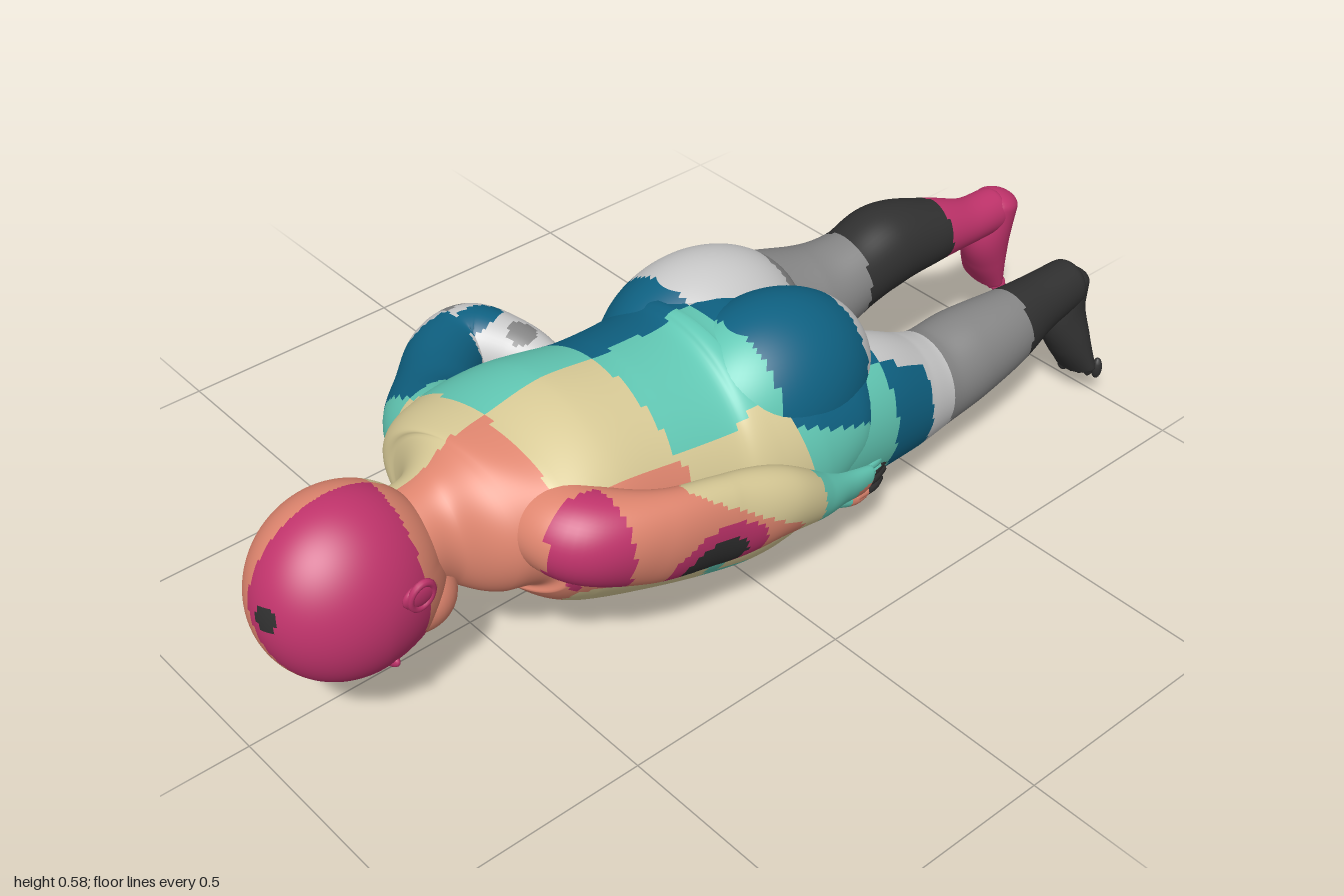
import * as THREE from 'three';

const palette = [
  ['magenta', 0xc0336b], ['coral', 0xe0866f], ['sand', 0xd9cb97], ['teal', 0x62c9b5],
  ['deepBlue', 0x0f6283], ['lightGrey', 0xcacaca], ['midGrey', 0x858585], ['charcoal', 0x303030],
];
const materials = palette.map(([name, color]) => {
  const m = new THREE.MeshStandardMaterial({ color });
  m.name = name;
  return m;
});
const V = (x, y, z) => new THREE.Vector3(x, y, z);

// Patchwork: the colour advances one step per cell along -x and along -z
function cell(x, z, minX = -9, maxX = 9) {
  const kx = THREE.MathUtils.clamp(Math.floor((0.3 - x) / 0.23), minX, maxX);
  return kx + Math.floor((0.98 - z) / 0.247);
}
const rules = {
  trunk: p => {
    const slope = THREE.MathUtils.mapLinear(THREE.MathUtils.clamp(p.z, 0.2, 0.4), 0.2, 0.4, 0.22, 0.06);
    const z = p.z + slope * Math.max(0, 0.5 - p.y);
    let x = p.x;
    if (p.z > 0.12) x -= 0.3 * Math.max(0, 0.3 - p.y);
    if (x < 0 && p.z < 0 && p.y < 0.4) x -= 0.07;
    const hip = p.z < -0.02 && p.y > 0.42 + 0.4 * p.z;
    return cell(x, z, hip ? 0 : -9);
  },
  head: p => {
    if (p.z > 0.9 && Math.hypot(p.x - 0.122, p.y - 0.39) < 0.024) return 7;
    if (p.z > 0.9 && Math.hypot(p.x - 0.115, p.y - 0.397) < 0.035) return 0;
    return cell(p.x - 0.5 * Math.max(0, 0.4 - p.y), Math.min(p.z, 0.97), 0, 1);
  },
  rightLeg: p => cell(p.x - 0.025, p.z, 1, 9),
  leftButtock: p => cell(p.x, p.z, 0, 0),
  leftLeg: p => cell(p.x, p.z + (p.z > -0.35 ? 0.04 : 0), p.z > -0.42 ? -1 : 0, 0),
  leftArm: p => {
    const d = Math.hypot((p.y - 0.28) / 0.75, p.z - 0.235);
    if (p.x > 0.33 && d < 0.068) return 7;
    if (p.x > 0.33 && d < 0.11) return 0;
    if (p.z > 0.42) return p.x > 0.3 && p.z < 0.545 && p.y < 0.485 ? 0 : 1;
    if (p.z > 0.08 + 1.4 * (p.y - 0.3)) return p.z > 0.03 ? 1 : 2;
    if (p.z > -0.03) return 2;
    if (p.y > 0.205 || p.z > -0.165) return 3;
    return p.z > -0.22 ? 1 : 7;
  },
  rightArm: p => {
    if (p.y > 0.36 && Math.hypot((p.x + 0.335) / 0.55, p.z - 0.2) < 0.055) return 4;
    if (p.y > 0.34 && Math.hypot(p.x + 0.25, p.z - 0.155) < 0.03) return 6;
    return cell(p.x, p.z);
  },
};

// Sorts the quads (triangle pairs) of a geometry into one group per colour
function paint(geo, name, rule) {
  const pos = geo.attributes.position, idx = geo.index.array;
  const bins = palette.map(() => []);
  const centre = V(), corner = V();
  for (let i = 0; i < idx.length; i += 6) {
    const quad = Array.from(idx.slice(i, i + 6));
    centre.set(0, 0, 0);
    quad.forEach(k => centre.add(corner.fromBufferAttribute(pos, k)));
    centre.divideScalar(quad.length);
    bins[((rule(centre) % 8) + 8) % 8].push(...quad);
  }
  geo.clearGroups();
  let start = 0;
  bins.forEach((bin, k) => {
    if (bin.length) geo.addGroup(start, bin.length, k);
    start += bin.length;
  });
  geo.setIndex(bins.flat());
  const mesh = new THREE.Mesh(geo, materials);
  mesh.name = name;
  return mesh;
}

// Smooth limb through stations [x, y, z, radius along ref, other radius], with domed ends
function loft(stations, ref = V(1, 0, 0), rings = 60, sides = 48, dome = 0.6) {
  const path = new THREE.CatmullRomCurve3(stations.map(s => V(s[0], s[1], s[2])), false, 'catmullrom');
  const size = new THREE.CatmullRomCurve3(stations.map(s => V(s[3], s[4] ?? s[3], 0)), false, 'catmullrom');
  const pts = [], index = [], caps = 8;
  const total = rings + 2 * caps;
  for (let i = 0; i <= total; i++) {
    const u = THREE.MathUtils.clamp((i - caps) / rings, 0, 1);
    const over = i < caps ? i - caps : Math.max(0, i - caps - rings);
    const ang = (over / caps) * Math.PI / 2 * 0.995;
    const t = path.getTangent(u), r = size.getPoint(u);
    const s = ref.clone().addScaledVector(t, -ref.dot(t)).normalize();
    const w = t.clone().cross(s);
    const p = path.getPoint(u).addScaledVector(t, Math.sin(ang) * Math.min(r.x, r.y) * dome);
    r.multiplyScalar(Math.cos(ang));
    for (let j = 0; j < sides; j++) {
      const q = (j / sides) * Math.PI * 2;
      const v = p.clone().addScaledVector(s, Math.cos(q) * r.x).addScaledVector(w, Math.sin(q) * r.y);
      pts.push(v.x, v.y, v.z);
      if (i === total) continue;
      const A = i * sides + j, B = i * sides + (j + 1) % sides;
      index.push(A, B, A + sides, B, B + sides, A + sides);
    }
  }
  const geo = new THREE.BufferGeometry();
  geo.setAttribute('position', new THREE.Float32BufferAttribute(pts, 3));
  geo.setIndex(index);
  geo.computeVertexNormals();
  return geo;
}

function ellipsoid(x, y, z, rx, ry, rz, seg = 24) {
  return new THREE.SphereGeometry(1, seg, Math.ceil(seg * 0.7)).scale(rx, ry, rz).translate(x, y, z);
}

export function createModel() {
  const model = new THREE.Group();
  model.name = 'lyingFigure';
  const add = (geo, name, rule) => model.add(paint(geo, name, rule));

  // Trunk from neck to hips
  add(loft([
    [0.09, 0.37, 0.70, 0.095, 0.10], [0.09, 0.37, 0.63, 0.10, 0.115], [0.09, 0.37, 0.57, 0.18, 0.15],
    [0.08, 0.37, 0.50, 0.25, 0.165], [0.08, 0.35, 0.40, 0.265, 0.21], [0.09, 0.31, 0.25, 0.255, 0.24],
    [0.09, 0.28, 0.10, 0.265, 0.265], [0.095, 0.28, 0, 0.277, 0.28], [0.095, 0.30, -0.10, 0.285, 0.25],
    [0.10, 0.31, -0.20, 0.268, 0.20], [0.10, 0.31, -0.27, 0.22, 0.17],
  ], V(1, 0, 0), 120, 120, 0.3), 'trunk', rules.trunk);
  add(ellipsoid(-0.005, 0.385, -0.1, 0.172, 0.19, 0.235, 72), 'rightButtock', rules.rightLeg);
  add(ellipsoid(0.185, 0.382, -0.1, 0.165, 0.19, 0.235, 72), 'leftButtock', rules.leftButtock);

  // Legs
  add(loft([
    [-0.045, 0.34, -0.12, 0.155, 0.15], [-0.05, 0.335, -0.28, 0.138, 0.14], [-0.025, 0.345, -0.42, 0.108, 0.11],
    [-0.01, 0.37, -0.52, 0.088, 0.09], [-0.01, 0.39, -0.62, 0.09, 0.092], [0.005, 0.385, -0.73, 0.074, 0.073],
    [0.018, 0.37, -0.84, 0.053, 0.052], [0.018, 0.365, -0.925, 0.048, 0.05],
  ], V(1, 0, 0), 90), 'rightLeg', rules.rightLeg);
  add(loft([
    [0.225, 0.29, -0.12, 0.15, 0.17], [0.23, 0.265, -0.28, 0.13, 0.16], [0.225, 0.23, -0.42, 0.115, 0.13],
    [0.225, 0.22, -0.52, 0.1, 0.11], [0.23, 0.235, -0.62, 0.095, 0.105], [0.237, 0.25, -0.73, 0.08, 0.09],
    [0.235, 0.265, -0.84, 0.062, 0.068], [0.235, 0.275, -0.94, 0.053, 0.057],
  ], V(1, 0, 0), 90), 'leftLeg', rules.leftLeg);

  // Feet hang down, toes lowest and turned outward
  for (const [name, x, y, out, rule] of [
    ['rightFoot', 0.02, 0.36, -1, rules.rightLeg], ['leftFoot', 0.235, 0.265, 1, rules.leftLeg]]) {
    add(loft([
      [x, y + 0.02, -0.945, 0.048, 0.05], [x + out * 0.005, y - 0.05, -0.93, 0.05, 0.058],
      [x + out * 0.02, y - 0.12, -0.945, 0.054, 0.046], [x + out * 0.035, y - 0.19, -0.968, 0.056, 0.026],
    ], V(1, 0, 0), 30, 32), name, rule);
    for (let i = 0; i < 5; i++) {
      const k = i - 2, r = i === 0 ? 0.016 : 0.012;
      add(ellipsoid(x + out * (0.04 + k * 0.022), y - 0.212 + i * 0.006, -0.982, r, 0.026, r, 12),
        name + 'Toe', rule);
    }
  }

  // Arm along the side
  add(loft([
    [0.2, 0.40, 0.47, 0.10, 0.08], [0.3, 0.392, 0.455, 0.09, 0.09], [0.355, 0.355, 0.34, 0.065, 0.1],
    [0.37, 0.325, 0.20, 0.06, 0.1], [0.38, 0.30, 0.07, 0.06, 0.085], [0.375, 0.25, -0.05, 0.045, 0.055],
    [0.365, 0.22, -0.13, 0.03, 0.042], [0.355, 0.195, -0.2, 0.022, 0.042],
  ], V(0.7, 0, 0.7), 100, 56), 'leftArm', rules.leftArm);
  for (let i = 0; i < 4; i++) {
    const y = 0.165 + i * 0.02;
    add(loft([[0.355, y, -0.19, 0.012], [0.35, y - 0.004, -0.24, 0.012],
      [0.335, y - 0.012, -0.285 + Math.abs(i - 1.5) * 0.008, 0.01]], V(1, 0, 0), 12, 12, 1), 'leftFinger', rules.leftArm);
  }
  add(loft([[0.36, 0.185, -0.13, 0.014], [0.355, 0.16, -0.18, 0.013], [0.35, 0.152, -0.215, 0.01]],
    V(1, 0, 0), 12, 12, 1), 'leftThumb', rules.leftArm);

  // Bent arm with the hand at the waist
  add(loft([
    [-0.04, 0.385, 0.46, 0.11, 0.10], [-0.17, 0.345, 0.43, 0.102, 0.1], [-0.27, 0.335, 0.355, 0.088, 0.085],
    [-0.355, 0.33, 0.265, 0.085, 0.082], [-0.355, 0.33, 0.2, 0.086, 0.08], [-0.27, 0.325, 0.155, 0.075, 0.066],
    [-0.19, 0.315, 0.135, 0.058, 0.052], [-0.12, 0.30, 0.11, 0.045, 0.038],
  ], V(0, 1, 0), 100), 'rightArm', rules.rightArm);

  // Head, face downward and rolled a little; a rule narrows the jaw toward the neck
  const roll = g => g.rotateZ(0.2).translate(0.095, 0.36, 0.82);
  const skull = new THREE.SphereGeometry(1, 112, 84);
  const pos = skull.attributes.position;
  for (let i = 0; i < pos.count; i++) {
    const x = pos.getX(i), y = pos.getY(i), z = pos.getZ(i);
    const face = Math.max(0, -y) * Math.max(0, -z);
    pos.setXYZ(i, x * 0.146 * (1 - 0.2 * face), y * 0.18, z * 0.18 - face * 0.06);
  }
  skull.computeVertexNormals();
  add(roll(skull), 'head', rules.head);
  add(roll(ellipsoid(0, -0.08, -0.115, 0.098, 0.078, 0.088, 40)), 'jaw', rules.head);
  add(roll(ellipsoid(0, -0.178, -0.075, 0.019, 0.022, 0.03)), 'nose', rules.head);
  add(roll(ellipsoid(0, -0.163, -0.035, 0.013, 0.02, 0.05)), 'noseBridge', rules.head);
  for (const z of [-0.128, -0.144]) {
    add(roll(ellipsoid(0, -0.145, z, 0.032, 0.014, 0.009)), 'lip', rules.head);
  }
  for (const side of [-1, 1]) {
    add(roll(ellipsoid(side * 0.055, -0.145, -0.02, 0.04, 0.018, 0.012)), 'brow', rules.head);
    add(roll(ellipsoid(side * 0.05, -0.138, -0.048, 0.024, 0.016, 0.013)), 'eyelid', rules.head);
    add(roll(ellipsoid(0, 0, 0, 0.012, 0.03, 0.036).rotateZ(side * -0.4)
      .translate(side * 0.148, 0, -0.06)), 'ear', rules.head);
    add(roll(new THREE.TorusGeometry(0.026, 0.007, 10, 28).scale(0.9, 1.2, 1).rotateY(Math.PI / 2)
      .rotateZ(side * -0.4).translate(side * 0.154, 0, -0.06)), 'earRim', rules.head);
  }
  return model;
}
